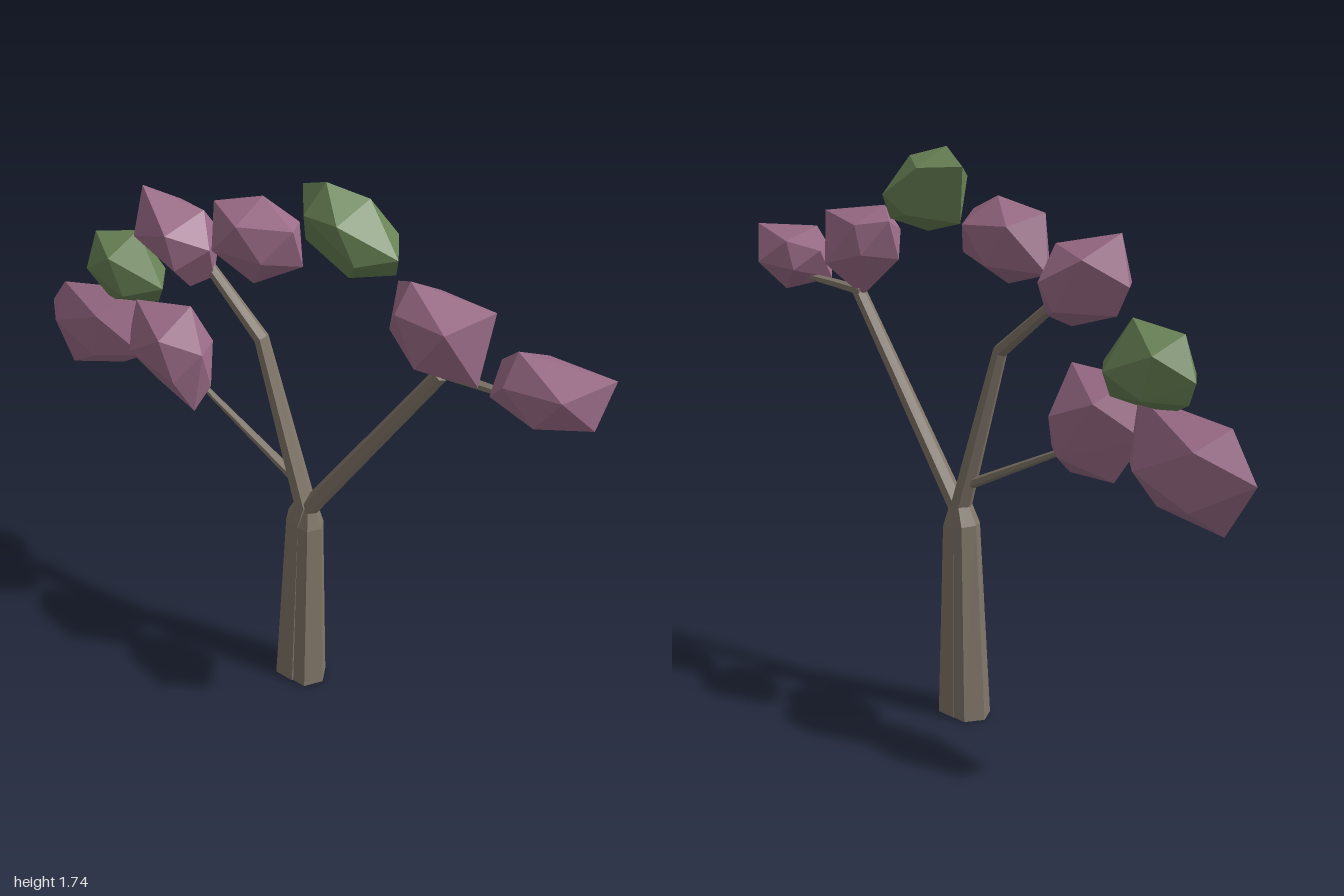
import * as THREE from 'three';
import { ConvexGeometry } from 'three/addons/geometries/ConvexGeometry.js';

const material = (name, color) => {
  const m = new THREE.MeshStandardMaterial({ color });
  m.name = name;
  return m;
};

// Six-sided limb lofted along a path of [x, y, z, radius]
function limbGeometry(path) {
  const sides = 6, pos = [];
  const centres = path.map(p => new THREE.Vector3(p[0], p[1], p[2]));
  const rings = path.map((p, i) => {
    const dir = new THREE.Vector3();
    if (i > 0) dir.add(centres[i].clone().sub(centres[i - 1]).normalize());
    if (i < path.length - 1) dir.add(centres[i + 1].clone().sub(centres[i]).normalize());
    dir.setZ(0).normalize();
    if (p[1] === 0) dir.set(0, 1, 0);
    return Array.from({ length: sides }, (_, k) => {
      const a = k / sides * Math.PI * 2, c = Math.cos(a) * p[3];
      return new THREE.Vector3(p[0] + dir.y * c, p[1] - dir.x * c, p[2] + Math.sin(a) * p[3]);
    });
  });
  const tri = (...pts) => pts.forEach(p => pos.push(p.x, p.y, p.z));
  const last = rings.length - 1;
  for (let k = 0; k < sides; k++) {
    const n = (k + 1) % sides;
    for (let i = 0; i < last; i++) {
      tri(rings[i][k], rings[i + 1][k], rings[i][n]);
      tri(rings[i][n], rings[i + 1][k], rings[i + 1][n]);
    }
    tri(centres[0], rings[0][k], rings[0][n]);
    tri(centres[last], rings[last][n], rings[last][k]);
  }
  const g = new THREE.BufferGeometry();
  g.setAttribute('position', new THREE.Float32BufferAttribute(pos, 3));
  g.computeVertexNormals();
  return g;
}

// Faceted leaf clump: a zigzag rim with a smaller triangle in front and behind
function clumpGeometry(rim, back, front) {
  const cx = rim.reduce((s, p) => s + p[0], 0) / rim.length;
  const cy = rim.reduce((s, p) => s + p[1], 0) / rim.length;
  const mid = (front + back) / 2, half = (front - back) / 2;
  const pts = rim.map(([x, y], i) => new THREE.Vector3(x, y, mid + half * (i % 2 ? 0.24 : -0.24)));
  const depth = [0.8, 1, 0.85];
  for (let i = 0; i < 6; i++) {
    const [x, y] = rim[i];
    const z = mid + half * depth[i >> 1] * (i % 2 ? -1 : 1);
    pts.push(new THREE.Vector3(cx + (x - cx) * 0.55, cy + (y - cy) * 0.55, z));
  }
  return new ConvexGeometry(pts);
}

export function createModel() {
  const bark = material('bark', 0x81776a);
  const blossom = material('blossom', 0x9f6f8b);
  const leaf = material('leaf', 0x6b8557);
  const tree = new THREE.Group();
  tree.name = 'tree';
  const add = (name, geometry, mat) => {
    const mesh = new THREE.Mesh(geometry, mat);
    mesh.name = name;
    tree.add(mesh);
  };

  // Two trunk strands, each running on into a main branch, and a thin side twig
  add('rightTrunkAndBranch', limbGeometry([
    [0.05, 0, 0.003, 0.065], [0.064, 0.62, 0, 0.045], [0.082, 0.68, 0, 0.034],
    [-0.09, 1.18, -0.01, 0.023], [-0.33, 1.36, -0.03, 0.017]]), bark);
  add('leftTrunkAndBranch', limbGeometry([
    [0.098, 0, 0, 0.064], [0.1, 0.61, 0, 0.045], [0.098, 0.67, 0, 0.03],
    [0.51, 1.285, -0.025, 0.022]]), bark);
  add('leftTwig', limbGeometry([
    [0.49, 1.285, -0.03, 0.016], [0.62, 1.295, -0.03, 0.014], [0.8, 1.305, -0.03, 0.01]]), bark);
  add('rightTwig', limbGeometry([
    [0.04, 0.755, 0, 0.016], [-0.4, 0.965, -0.01, 0.008]]), bark);

  // Foliage clumps: name, material, back z, front z, rim
  const clumps = [
    ['outerRightBlossom', blossom, -0.1, 0.07,
      [[-1, 0.98], [-0.89, 1.1], [-0.62, 1.15], [-0.56, 0.95], [-0.69, 0.86], [-0.88, 0.81]]],
    ['lowerRightBlossom', blossom, -0.08, 0.11,
      [[-0.62, 1.02], [-0.54, 1.17], [-0.36, 1.19], [-0.28, 1.07], [-0.29, 0.94], [-0.32, 0.86], [-0.52, 0.88]]],
    ['rightLeaves', leaf, -0.11, 0.06,
      [[-0.81, 1.21], [-0.74, 1.32], [-0.6, 1.35], [-0.47, 1.21], [-0.53, 1.13], [-0.69, 1.1], [-0.79, 1.15]]],
    ['upperRightBlossom', blossom, -0.1, 0.1,
      [[-0.57, 1.42], [-0.5, 1.55], [-0.31, 1.51], [-0.25, 1.42], [-0.28, 1.31], [-0.33, 1.28], [-0.53, 1.34]]],
    ['crownBlossom', blossom, -0.09, 0.09,
      [[-0.28, 1.42], [-0.23, 1.58], [-0.09, 1.62], [0.05, 1.57], [0.05, 1.45], [-0.09, 1.37]]],
    ['crownLeaves', leaf, -0.1, 0.08,
      [[0.04, 1.69], [0.15, 1.74], [0.26, 1.71], [0.385, 1.59], [0.35, 1.52], [0.23, 1.49], [0.05, 1.53]]],
    ['upperLeftBlossom', blossom, -0.1, 0.09,
      [[0.36, 1.51], [0.43, 1.55], [0.66, 1.52], [0.65, 1.32], [0.49, 1.27], [0.37, 1.39]]],
    ['outerLeftBlossom', blossom, -0.11, 0.08,
      [[0.68, 1.39], [0.75, 1.46], [1, 1.45], [0.98, 1.32], [0.86, 1.25], [0.68, 1.3]]],
  ];
  for (const [name, mat, back, front, rim] of clumps) add(name, clumpGeometry(rim, back, front), mat);

  return tree;
}
